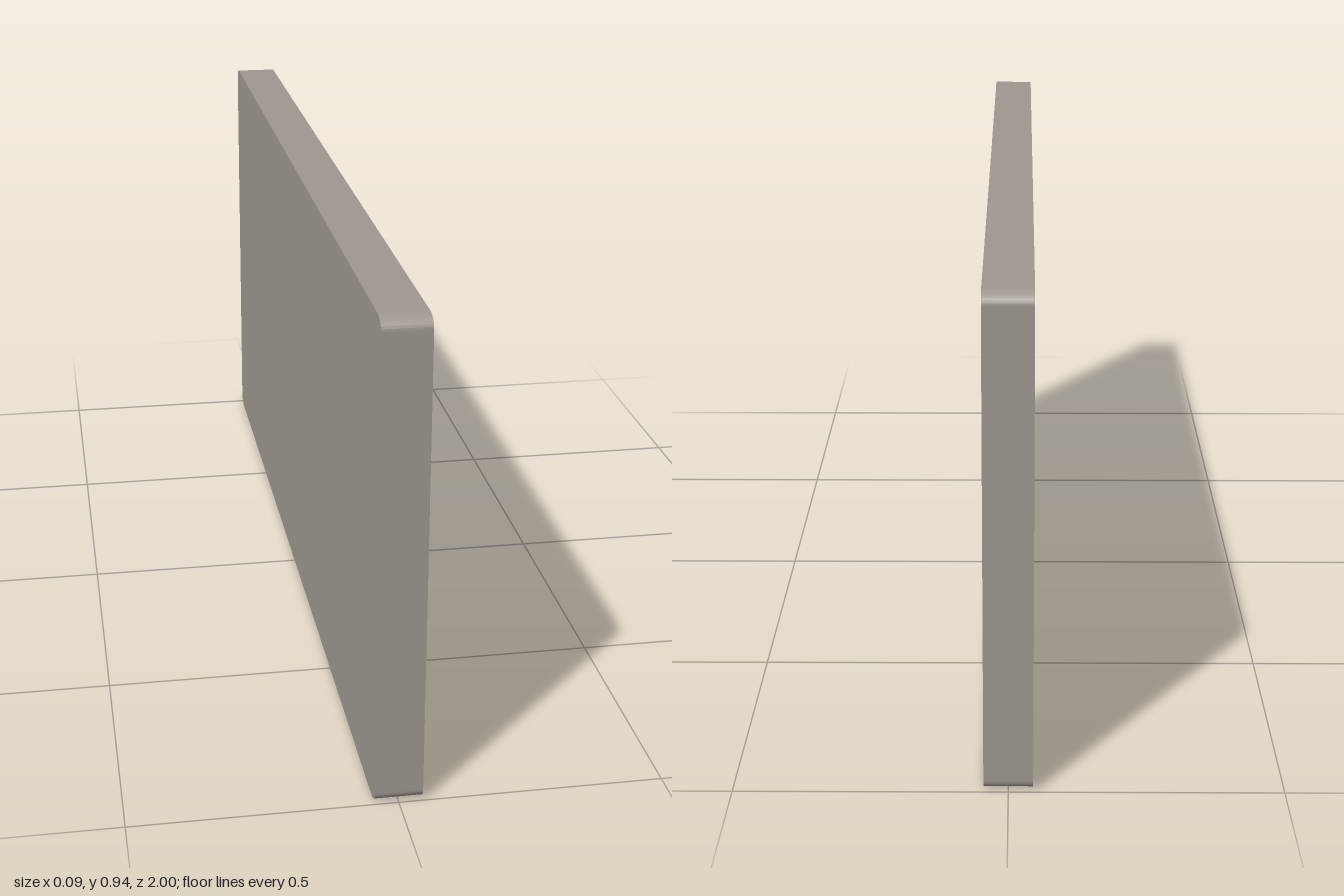
import * as THREE from 'three';

const HEIGHT = 0.94, HALF_LENGTH = 1, THICKNESS = 0.09;
const CORNER_Z = 0.033, CORNER_Y = 0.022;

// Side outline of the slab with softly rounded corners
function slabOutline() {
  const shape = new THREE.Shape();
  const corners = [[1, 1], [-1, 1], [-1, -1], [1, -1]];
  corners.forEach(([sx, sy], i) => {
    const cx = sx * (HALF_LENGTH - CORNER_Z);
    const cy = HEIGHT / 2 + sy * (HEIGHT / 2 - CORNER_Y);
    const start = i * Math.PI / 2;
    shape.absellipse(cx, cy, CORNER_Z, CORNER_Y, start, start + Math.PI / 2, false, 0);
  });
  shape.closePath();
  return shape;
}

export function createModel() {
  const casingMaterial = new THREE.MeshStandardMaterial({ color: 0x9e978f });
  casingMaterial.name = 'warm grey casing';
  const screenMaterial = new THREE.MeshStandardMaterial({ color: 0xcbcbcb });
  screenMaterial.name = 'light grey screen';

  const model = new THREE.Group();
  model.name = 'flatPanel';

  // Casing: outline extruded along its thickness, turned to face +x
  const casingGeometry = new THREE.ExtrudeGeometry(slabOutline(), {
    depth: THICKNESS, bevelEnabled: false, curveSegments: 4,
  });
  casingGeometry.translate(0, 0, -THICKNESS / 2);
  casingGeometry.rotateY(Math.PI / 2);
  const casing = new THREE.Mesh(casingGeometry, casingMaterial);
  casing.name = 'casing';
  model.add(casing);

  // Screen: thin plate almost flush with the +x face
  const screen = new THREE.Mesh(new THREE.BoxGeometry(0.002, 0.806, 1.785), screenMaterial);
  screen.name = 'screen';
  screen.position.set(THICKNESS / 2, 0.475, 0.002);
  model.add(screen);

  return model;
}
